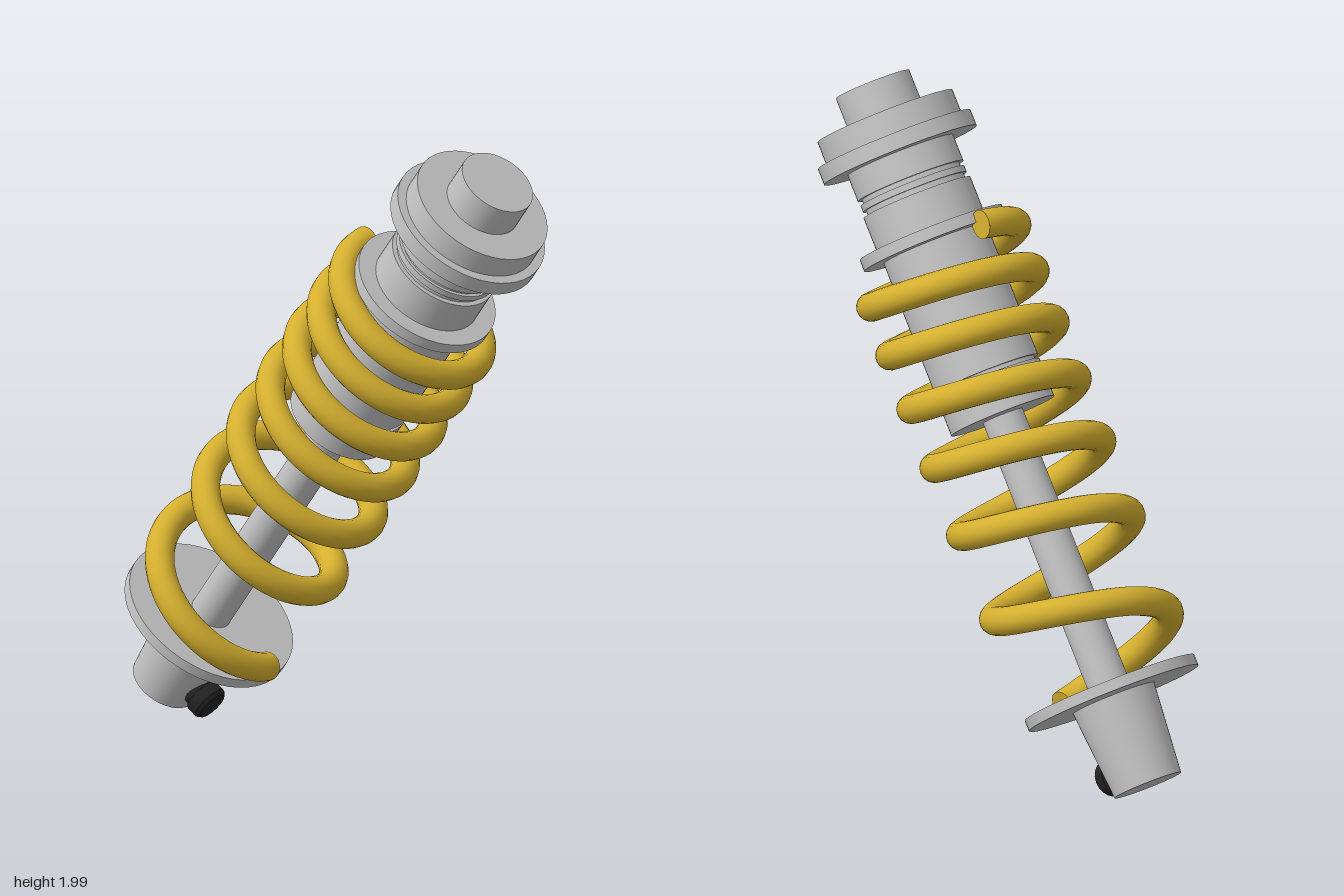
import * as THREE from 'three';

// Heights along the strut axis at every half turn of the progressive spring
const HALF_TURNS = [0.33, 0.515, 0.672, 0.81, 0.93, 1.04, 1.14, 1.235, 1.325, 1.412, 1.494, 1.573, 1.647, 1.718];

class SpringCurve extends THREE.Curve {
  getPoint(u, target = new THREE.Vector3()) {
    const n = HALF_TURNS.length - 1;
    const f = Math.min(u * n, n), i = Math.min(Math.floor(f), n - 1);
    const height = THREE.MathUtils.lerp(HALF_TURNS[i], HALF_TURNS[i + 1], f - i);
    const angle = f * Math.PI, radius = 0.246;
    return target.set(radius * Math.cos(angle), height, radius * Math.sin(angle));
  }
}

export function createModel() {
  const model = new THREE.Group();
  const metal = new THREE.MeshStandardMaterial({ color: 0xc0c0c0 });
  const gold = new THREE.MeshStandardMaterial({ color: 0xd4af2f });
  const black = new THREE.MeshStandardMaterial({ color: 0x222222 });

  // Everything is built upright along y, then leaned over
  const strut = new THREE.Group();
  strut.name = 'strut';
  strut.rotation.z = -0.6;
  strut.position.set(-0.647, 0.085, 0);
  model.add(strut);

  const add = (name, geometry, material) => {
    const mesh = new THREE.Mesh(geometry, material);
    mesh.name = name;
    strut.add(mesh);
    return mesh;
  };

  // Turned metal sections: name, start, end, start radius, end radius
  const sections = [
    ['lowerMount', 0, 0.285, 0.106, 0.13],
    ['lowerSpringSeat', 0.278, 0.312, 0.27, 0.27],
    ['pistonRod', 0.3, 1.25, 0.063, 0.063],
    ['lowerCollar', 1.18, 1.262, 0.164, 0.164],
    ['lowerGroove', 1.262, 1.275, 0.152, 0.152],
    ['lowerRing', 1.275, 1.3, 0.164, 0.164],
    ['upperGroove', 1.3, 1.313, 0.152, 0.152],
    ['damperBody', 1.313, 1.735, 0.164, 0.164],
    ['upperSpringSeat', 1.73, 1.766, 0.226, 0.226],
    ['neck', 1.766, 1.878, 0.17, 0.17],
    ['neckGroove', 1.878, 1.895, 0.155, 0.155],
    ['neckRing', 1.895, 1.915, 0.165, 0.165],
    ['neckUpperGroove', 1.915, 1.93, 0.155, 0.155],
    ['upperNeck', 1.93, 2.02, 0.168, 0.168],
    ['capFlange', 2.013, 2.063, 0.243, 0.243],
    ['cap', 2.063, 2.138, 0.215, 0.215],
    ['topStud', 2.13, 2.24, 0.117, 0.117],
  ];
  for (const [name, y0, y1, r0, r1] of sections) {
    add(name, new THREE.CylinderGeometry(r1, r0, y1 - y0, 48).translate(0, (y0 + y1) / 2, 0), metal);
  }

  // Coil spring with flat ends
  const coil = new SpringCurve();
  const wire = 0.044;
  add('coilSpring', new THREE.TubeGeometry(coil, 416, wire, 16), gold);
  for (const u of [0, 1]) {
    const end = add('springEnd', new THREE.CircleGeometry(wire, 16), gold);
    const outward = coil.getTangent(u).multiplyScalar(u ? 1 : -1);
    end.position.copy(coil.getPoint(u));
    end.quaternion.setFromUnitVectors(new THREE.Vector3(0, 0, 1), outward);
  }

  // Adjuster knob on the side of the lower mount
  for (const [name, x0, x1, r0, r1] of [
    ['adjusterStem', 0.08, 0.125, 0.048, 0.048],
    ['adjusterKnob', 0.122, 0.158, 0.057, 0.057],
    ['adjusterTip', 0.158, 0.17, 0.057, 0.047],
  ]) {
    const geometry = new THREE.CylinderGeometry(r1, r0, x1 - x0, 20).rotateZ(-Math.PI / 2);
    add(name, geometry.translate((x0 + x1) / 2, 0.07, 0), black);
  }

  return model;
}
